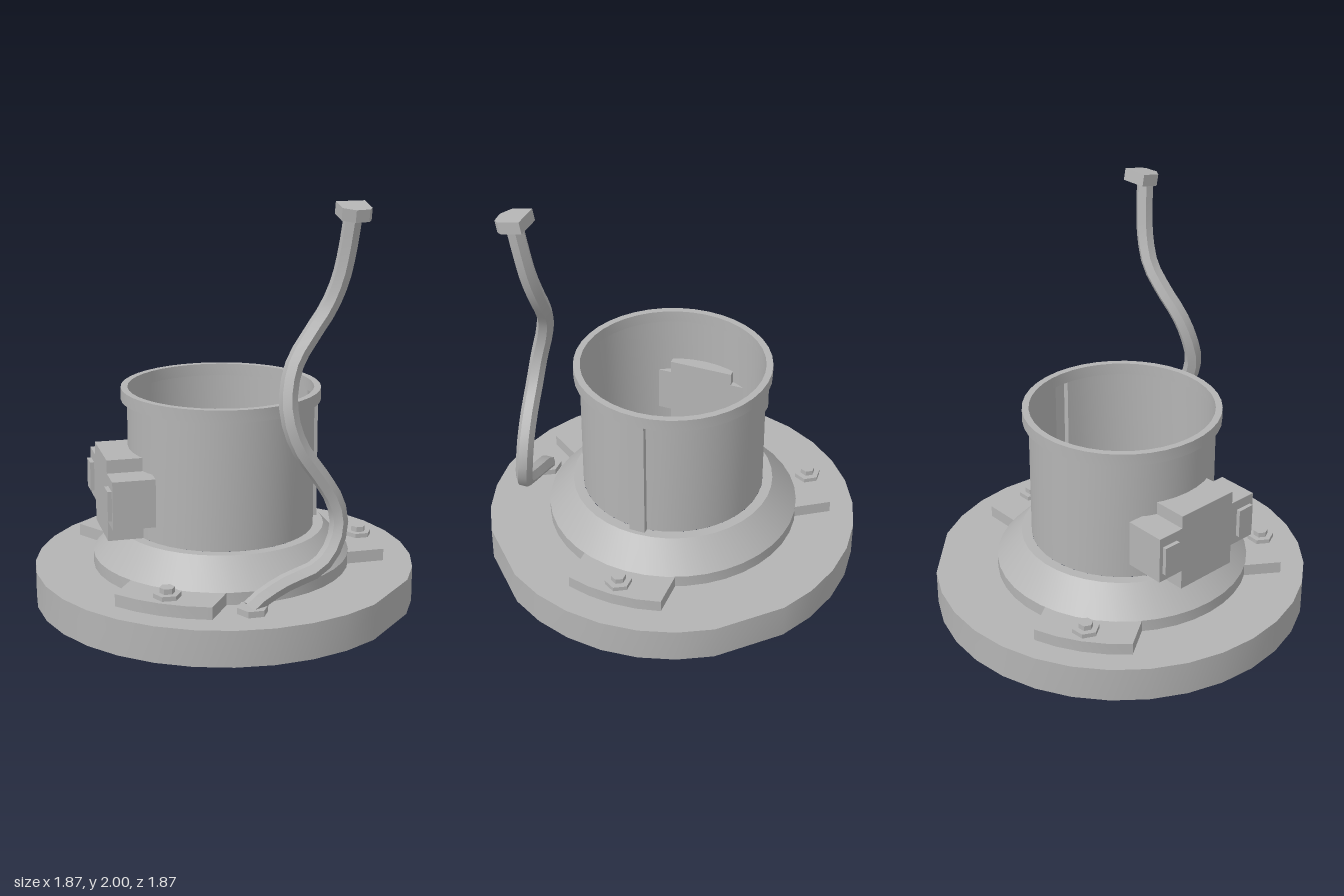
import * as THREE from 'three';
import { toCreasedNormals } from 'three/addons/utils/BufferGeometryUtils.js';

const grey = new THREE.MeshStandardMaterial({ color: 0xb4b4b4, side: THREE.DoubleSide });
grey.name = 'grey metal';
const CX = -0.015; // axis of the housing

export function createModel() {
  const model = new THREE.Group();

  const add = (name, geometry, x = 0, y = 0, z = 0, parent = model) => {
    const mesh = new THREE.Mesh(toCreasedNormals(geometry, 0.6), grey);
    mesh.name = name;
    mesh.position.set(x, y, z);
    parent.add(mesh);
    return mesh;
  };
  const box = (name, x0, x1, y0, y1, z0, z1) =>
    add(name, new THREE.BoxGeometry(x1 - x0, y1 - y0, z1 - z0), (x0 + x1) / 2, (y0 + y1) / 2, (z0 + z1) / 2);
  const hex = (name, r, y0, y1, x, z, parent) =>
    add(name, new THREE.CylinderGeometry(r, r, y1 - y0, 6).rotateY(Math.PI / 2), x, (y0 + y1) / 2, z, parent);

  // Upright open wall following a closed outline in x and z
  const wall = (points, y0, y1) => {
    const pos = [];
    points.forEach((a, i) => {
      const b = points[(i + 1) % points.length];
      pos.push(a.x, y0, a.y, a.x, y1, a.y, b.x, y0, b.y);
      pos.push(b.x, y0, b.y, a.x, y1, a.y, b.x, y1, b.y);
    });
    const g = new THREE.BufferGeometry();
    g.setAttribute('position', new THREE.Float32BufferAttribute(pos, 3));
    g.computeVertexNormals();
    return g;
  };
  const polar = (r, a) => new THREE.Vector2(r * Math.cos(a), r * Math.sin(a));

  // Hollow base: round skirt with two flattened places, and a ring on top
  const rim = [];
  for (let k = 0; k < 32; k++) if (k !== 4 && k !== 28) rim.push(polar(0.933, (k * Math.PI) / 16));
  add('baseSkirt', wall(rim, 0, 0.175));
  const ring = new THREE.Shape(rim);
  ring.holes.push(new THREE.Path().absarc(CX, 0, 0.63, 0, Math.PI * 2, true));
  add('baseTop', new THREE.ShapeGeometry(ring, 20).rotateX(-Math.PI / 2), 0, 0.175, 0);

  // Sloping collar
  const lathe = (pts) => new THREE.LatheGeometry(pts.map((p) => new THREE.Vector2(...p)), 40);
  add('collar', lathe([[0.63, 0.175], [0.63, 0.235], [0.505, 0.37], [0.455, 0.37]]), CX);

  // Tube with a narrow channel on one side
  const tube = [];
  const gap = Math.asin(0.04 / 0.455);
  for (let k = 0; k <= 40; k++) tube.push(polar(0.455, gap + (k / 40) * (Math.PI * 2 - 2 * gap)));
  tube.push(new THREE.Vector2(0.482, -0.04), new THREE.Vector2(0.482, 0.04));
  add('tubeWall', wall(tube, 0.37, 1.0), CX);
  add('tubeRim', lathe([[0.452, 1.0], [0.485, 1.0], [0.485, 1.06], [0.452, 1.06], [0.452, 1.0]]), CX);

  // Bolted mounting pads
  for (const angle of [0, 124, -124]) {
    const pad = new THREE.Group();
    pad.name = 'mountingPad';
    pad.position.x = CX;
    pad.rotation.y = THREE.MathUtils.degToRad(angle);
    model.add(pad);
    const half = Math.asin(0.238 / 0.805);
    const shape = new THREE.Shape();
    shape.moveTo(0.58, -0.238);
    for (let k = 0; k <= 4; k++) {
      const p = polar(0.805, -half + (k / 4) * 2 * half);
      shape.lineTo(p.x, p.y);
    }
    shape.lineTo(0.58, 0.238);
    shape.closePath();
    const plate = new THREE.ExtrudeGeometry(shape, { depth: 0.06, bevelEnabled: false });
    add('padPlate', plate.rotateX(-Math.PI / 2), 0, 0.175, 0, pad);
    hex('boltFlange', 0.066, 0.235, 0.257, 0.718, 0, pad);
    hex('boltHead', 0.036, 0.257, 0.283, 0.718, 0, pad);
  }

  // Side box through the tube wall, with wings and small plates
  box('sideBox', -0.61, -0.405, 0.37, 0.77, -0.165, 0.165);
  for (const s of [-1, 1]) {
    const z = (a, b) => (s > 0 ? [a, b] : [-b, -a]);
    box('sideBoxWing', -0.61, -0.405, 0.47, 0.705, ...z(0.165, 0.308));
    box('wingPlate', -0.63, -0.61, 0.51, 0.655, ...z(0.2, 0.288));
  }

  // Cable with its gland and end plug
  hex('cableGland', 0.073, 0.175, 0.205, -0.05, 0.73);
  const path = [
    [-0.06, 0.195, 0.73], [0.0, 0.24, 0.72], [0.12, 0.295, 0.7], [0.27, 0.35, 0.69],
    [0.35, 0.43, 0.66], [0.385, 0.54, 0.635], [0.36, 0.65, 0.635], [0.28, 0.78, 0.645],
    [0.19, 0.91, 0.65], [0.145, 1.04, 0.64], [0.145, 1.16, 0.61], [0.185, 1.29, 0.575],
    [0.27, 1.41, 0.545], [0.355, 1.53, 0.53], [0.405, 1.66, 0.54], [0.43, 1.8, 0.555],
    [0.445, 1.95, 0.575],
  ].map((p) => new THREE.Vector3(...p));
  add('cable', new THREE.TubeGeometry(new THREE.CatmullRomCurve3(path), 32, 0.043, 6));

  const outline = [[-0.068, -0.068], [0.068, -0.068], [0.068, 0.04], [0.05, 0.062], [-0.015, 0.068], [-0.068, 0.03]];
  const plugShape = new THREE.Shape(outline.map(([x, z]) => new THREE.Vector2(x, -z)));
  const plugBody = new THREE.ExtrudeGeometry(plugShape, { depth: 0.058, bevelEnabled: false });
  const plug = add('plug', plugBody.rotateX(-Math.PI / 2), 0.452, 1.929, 0.565);
  plug.rotation.x = 0.19;

  return model;
}
